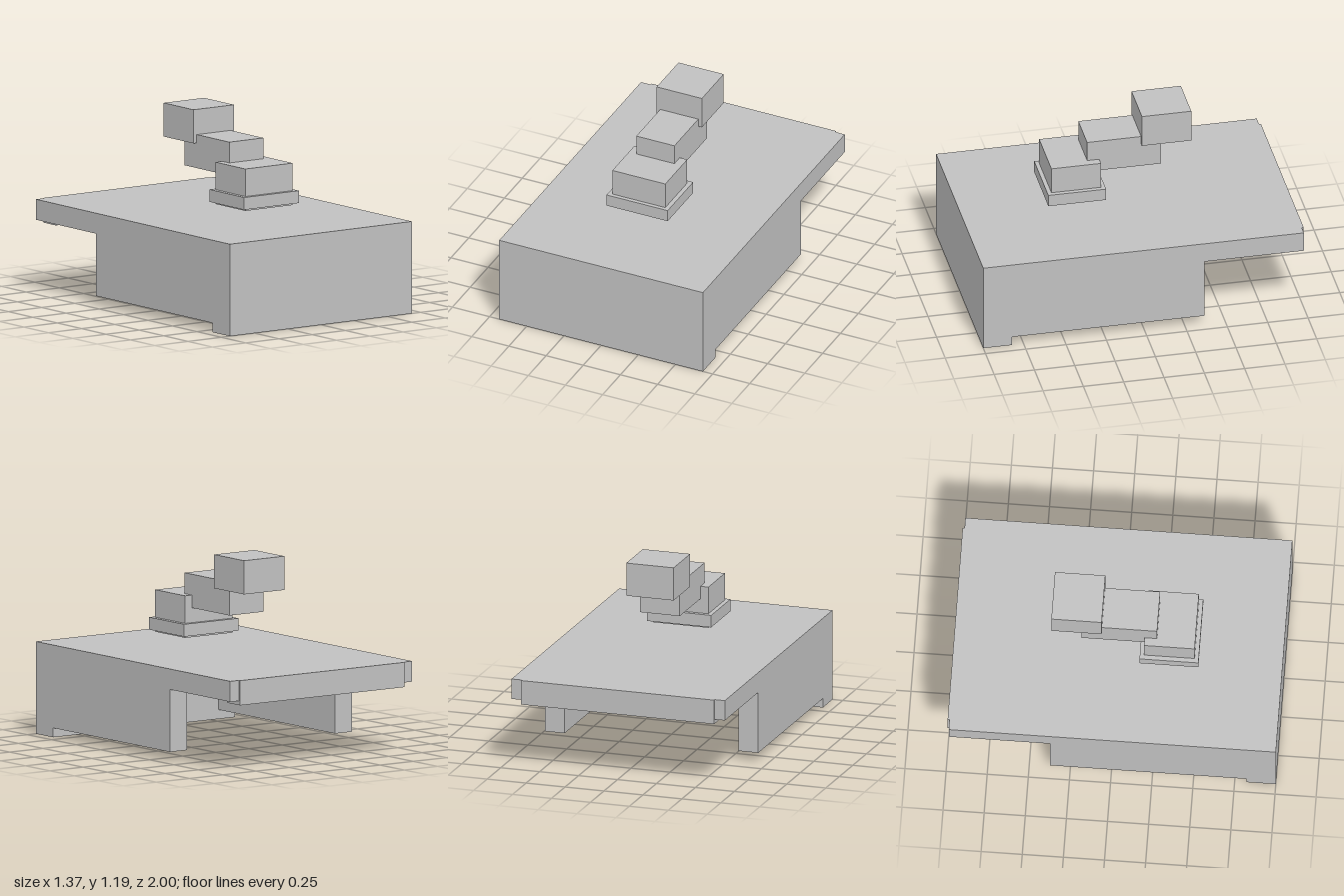
import * as THREE from 'three';

export function createModel() {
  const model = new THREE.Group();
  const grey = new THREE.MeshStandardMaterial({ color: 0xc0c0c0 });
  grey.name = 'lightGrey';

  // Box given by its extents along each axis
  function block(name, [x0, x1], [y0, y1], [z0, z1]) {
    const mesh = new THREE.Mesh(new THREE.BoxGeometry(x1 - x0, y1 - y0, z1 - z0), grey);
    mesh.name = name;
    mesh.position.set((x0 + x1) / 2, (y0 + y1) / 2, (z0 + z1) / 2);
    model.add(mesh);
  }

  // Hollow housing: top slab, tall front wall, shorter side walls
  const w = 0.685, top = 0.566, under = 0.44, front = 0.822, back = -0.988;
  block('topSlab', [-w, w], [under, top], [back, front]);
  block('frontWall', [-w, w], [0, top], [front, 1]);
  block('leftWall', [w - 0.127, w], [0.057, under], [-0.372, front]);
  block('rightWall', [-w, 0.127 - w], [0.057, under], [-0.372, front]);

  // Rail across the rear edge: a lip behind the slab and a strip below it
  block('rearRailLip', [-0.62, 0.62], [under, top], [-1, back]);
  block('rearRail', [-0.62, 0.62], [0.414, under], [-1, -0.873]);

  // Stepped stack hovering above the slab
  block('stackCollar', [-0.206, 0.205], [0.658, 0.734], [0.136, 0.494]);
  block('stackBase', [-0.179, 0.177], [0.645, 0.903], [0.162, 0.469]);
  block('stackArm', [-0.129, 0.127], [0.825, 1.031], [-0.222, 0.237]);
  block('stackHead', [-0.153, 0.151], [0.979, 1.186], [-0.404, -0.098]);

  return model;
}
